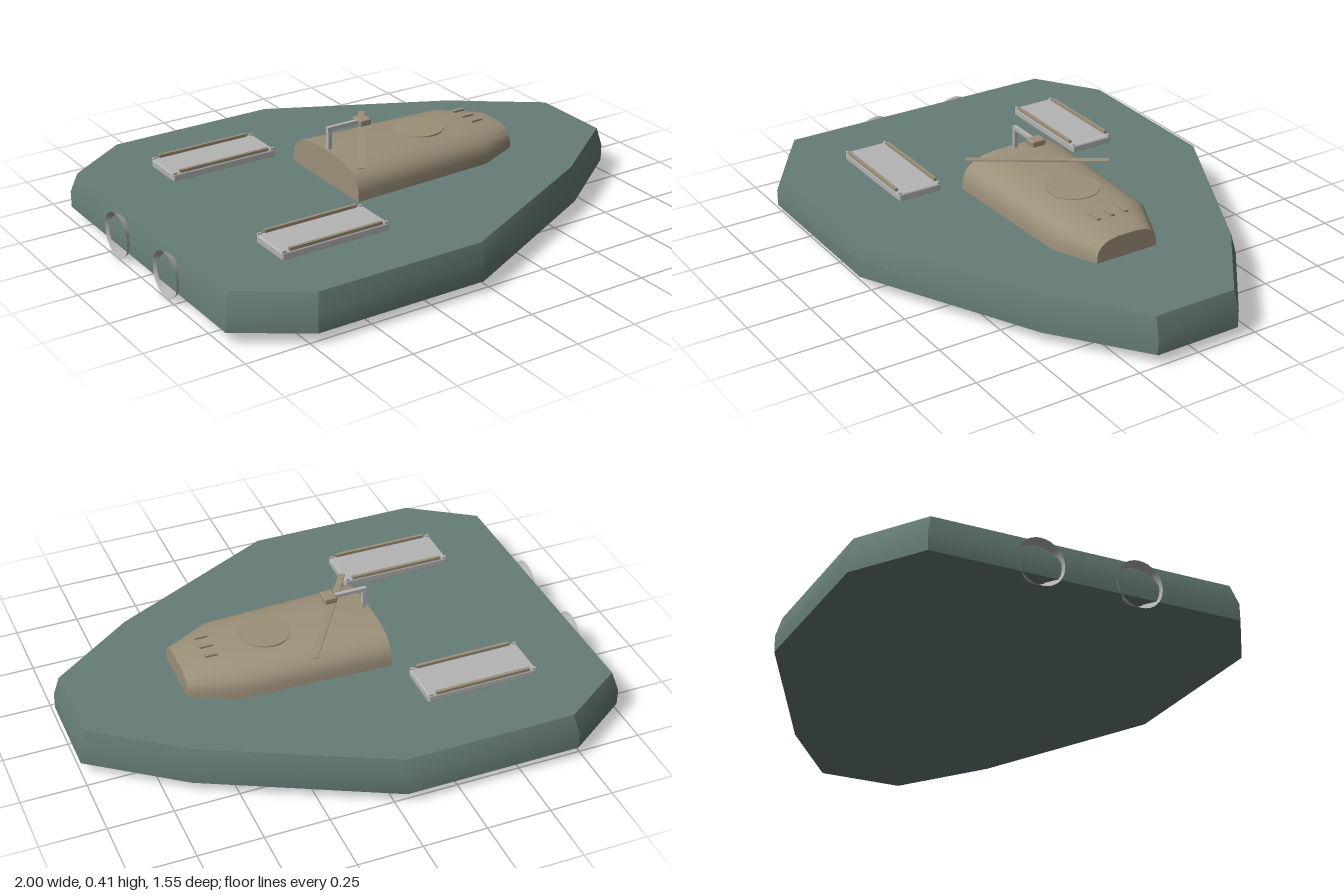
import * as THREE from 'three';
import { toCreasedNormals } from 'three/addons/utils/BufferGeometryUtils.js';
import { RoundedBoxGeometry } from 'three/addons/geometries/RoundedBoxGeometry.js';

const paint = (name, color, extra = {}) => {
  const m = new THREE.MeshStandardMaterial({ color, ...extra });
  m.name = name;
  return m;
};

// Skins a stack of convex rings (counter-clockwise about the stacking axis) and caps both ends.
function loft(rings, crease) {
  const pos = [];
  const tri = (...pts) => pts.forEach((p) => pos.push(...p));
  const n = rings[0].length;
  for (let i = 0; i + 1 < rings.length; i++) {
    for (let j = 0; j < n; j++) {
      const k = (j + 1) % n;
      const a = rings[i][j], b = rings[i][k], c = rings[i + 1][k], d = rings[i + 1][j];
      tri(a, b, c);
      tri(a, c, d);
    }
  }
  const first = rings[0], last = rings[rings.length - 1];
  for (let j = 1; j + 1 < n; j++) {
    tri(first[0], first[j + 1], first[j]);
    tri(last[0], last[j], last[j + 1]);
  }
  const g = new THREE.BufferGeometry();
  g.setAttribute('position', new THREE.Float32BufferAttribute(pos, 3));
  return toCreasedNormals(g, crease);
}

export function createModel() {
  const model = new THREE.Group();
  model.name = 'hovercraft';
  const hullPaint = paint('hull green', 0x667c77);
  const tan = paint('tan', 0x9c9079);
  const grey = paint('light grey', 0xb4b4b4);
  const greyOpen = paint('nozzle grey', 0xb0b0b0, { side: THREE.DoubleSide });

  const add = (name, geometry, material, x = 0, y = 0, z = 0) => {
    const mesh = new THREE.Mesh(geometry, material);
    mesh.name = name;
    mesh.position.set(x, y, z);
    model.add(mesh);
    return mesh;
  };
  const box = (name, w, h, d, material, x, y, z) =>
    add(name, new THREE.BoxGeometry(w, h, d), material, x, y, z);

  // Hull: ten-sided plan with the upper half of the wall leaning inward
  const side = [[-0.988, 0.6], [-0.73, 0.775], [-0.04, 0.775], [0.655, 0.428], [0.998, 0.173]];
  const plan = [...side, ...side.map(([x, z]) => [x, -z]).reverse()];
  const hullRing = (y, sx, sz) => plan.map(([x, z]) => [x * sx, y, z * sz]);
  add('hull', loft([
    hullRing(0.045, 1, 1), hullRing(0.11, 1, 1), hullRing(0.187, 0.976, 0.967),
  ], 0.5), hullPaint);

  // Cabin: squarish arch sections tapering to the bow
  const deck = 0.187, steps = 24;
  const arch = ([x, w, h]) => Array.from({ length: steps + 1 }, (_, i) => {
    const a = Math.PI * i / steps, c = Math.cos(a), s = Math.max(0, Math.sin(a));
    return [x, deck + h * Math.pow(s, 2 / 3), -w * Math.sign(c) * Math.pow(Math.abs(c), 2 / 3)];
  });
  add('cabin', loft([
    [-0.213, 0.23, 0.128], [0.39, 0.207, 0.12], [0.562, 0.13, 0.087],
  ].map(arch), 0.6), tan);

  // Roof details: hatch, three periscopes and a diagonal bar
  add('roofHatch', new THREE.CylinderGeometry(0.1, 0.1, 0.008, 24), tan, 0.21, 0.307, 0);
  for (const z of [-0.06, 0, 0.06]) box('periscope', 0.05, 0.008, 0.016, tan, 0.445, 0.306, z);
  const bar = box('diagonalBar', 0.55, 0.005, 0.026, tan, -0.047, 0.317, -0.005);
  bar.rotation.y = Math.atan2(0.465, 0.305);

  // Mast with a forward arm and sensor head
  box('mast', 0.016, 0.095, 0.016, grey, -0.195, 0.355, 0);
  box('mastArm', 0.14, 0.014, 0.016, grey, -0.133, 0.396, 0);
  add('sensorHead', new RoundedBoxGeometry(0.05, 0.026, 0.06, 2, 0.006), tan, -0.048, 0.396, 0);

  for (const s of [1, -1]) {
    // Deck panels, each with two rails
    add('deckPanel', new RoundedBoxGeometry(0.446, 0.034, 0.18, 2, 0.008), grey, -0.472, 0.199, s * 0.397);
    for (const e of [-1, 1]) {
      box('panelRail', 0.385, 0.012, 0.012, tan, -0.472, 0.222, s * 0.397 + e * 0.085);
      for (const x of [-0.685, -0.26]) box('panelRailEnd', 0.016, 0.008, 0.008, grey, x, 0.217, s * 0.397 + e * 0.084);
    }
    // Stern nozzles: open flared rings
    const nozzle = add('sternNozzle', new THREE.CylinderGeometry(0.09, 0.062, 0.05, 32, 1, true),
      greyOpen, -0.975, 0.091, s * 0.19);
    nozzle.rotation.z = Math.PI / 2;
  }
  return model;
}
